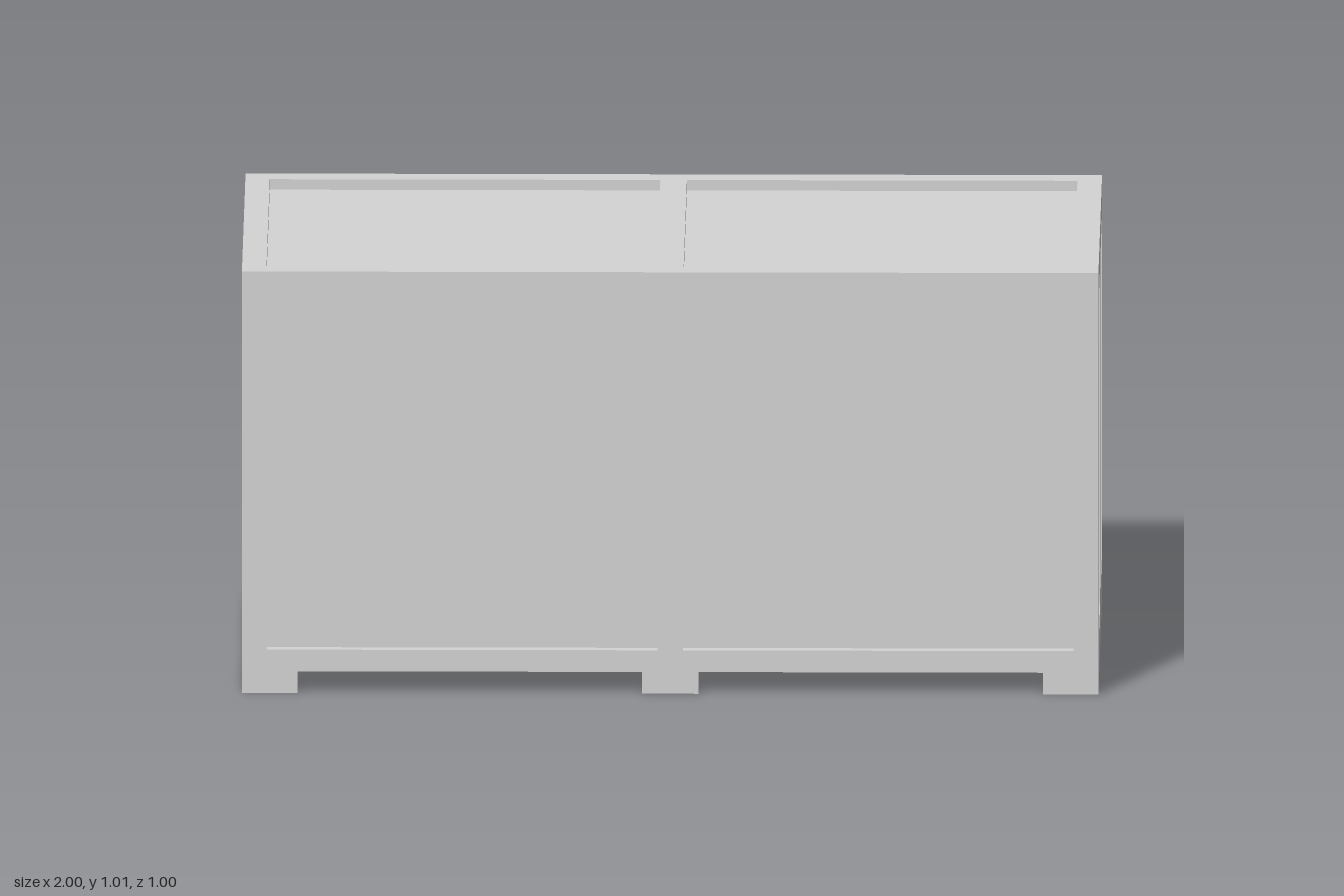
import * as THREE from 'three';

const W = 1, H = 1.011, D = 0.498; // half width, height, half depth
const T = 0.025;                   // frame thickness = panel recess
const RAIL = 0.052, FLOOR = 0.07;  // underside of long rails and of the floor

function rect(path, x0, x1, y0, y1) {
  path.moveTo(x0, y0);
  path.lineTo(x1, y0);
  path.lineTo(x1, y1);
  path.lineTo(x0, y1);
  path.closePath();
  return path;
}

// Flat frame with two mirrored openings, thickness along +z
function frameGeometry(outer, opening) {
  const shape = rect(new THREE.Shape(), ...outer);
  const [a, b, y0, y1] = opening;
  shape.holes.push(rect(new THREE.Path(), a, b, y0, y1), rect(new THREE.Path(), -b, -a, y0, y1));
  return new THREE.ExtrudeGeometry(shape, { depth: T, bevelEnabled: false });
}

export function createModel() {
  const grey = new THREE.MeshStandardMaterial({ color: 0xd5d5d5 });
  grey.name = 'light grey';
  const group = new THREE.Group();
  group.name = 'crate';
  const add = (name, geometry) => {
    const mesh = new THREE.Mesh(geometry, grey);
    mesh.name = name;
    group.add(mesh);
    return mesh;
  };

  // Recessed panels: one inner box behind all the frames
  const panelTop = H - T;
  add('panelBox', new THREE.BoxGeometry(2 * (W - T), panelTop - FLOOR, 2 * (D - T)))
    .position.y = (panelTop + FLOOR) / 2;

  // Long frames, front and back
  const longFrame = frameGeometry([-W + T, W - T, RAIL, panelTop], [0.03, 0.942, 0.104, 0.924]);
  add('frontFrame', longFrame).position.z = D - T;
  const back = add('backFrame', longFrame);
  back.rotation.y = Math.PI;
  back.position.z = -(D - T);

  // End frames reach the ground
  const endFrame = frameGeometry([-D, D, 0, panelTop], [0.033, 0.411, 0.106, 0.923]);
  for (const [name, s] of [['leftFrame', 1], ['rightFrame', -1]]) {
    const end = add(name, endFrame);
    end.rotation.y = s * Math.PI / 2;
    end.position.x = s * (W - T);
  }

  // Lid frame
  const lid = add('lidFrame', frameGeometry([-W, W, -D, D], [0.031, 0.943, -0.44, 0.44]));
  lid.rotation.x = -Math.PI / 2;
  lid.position.y = panelTop;

  // Skids running front to back, flush with the long frames
  for (const [name, x0, x1] of [
    ['rightSkid', -W + T, -0.87], ['middleSkid', -0.066, 0.066], ['leftSkid', 0.87, W - T],
  ]) {
    add(name, new THREE.BoxGeometry(x1 - x0, FLOOR, 2 * D))
      .position.set((x0 + x1) / 2, FLOOR / 2, 0);
  }
  return group;
}
